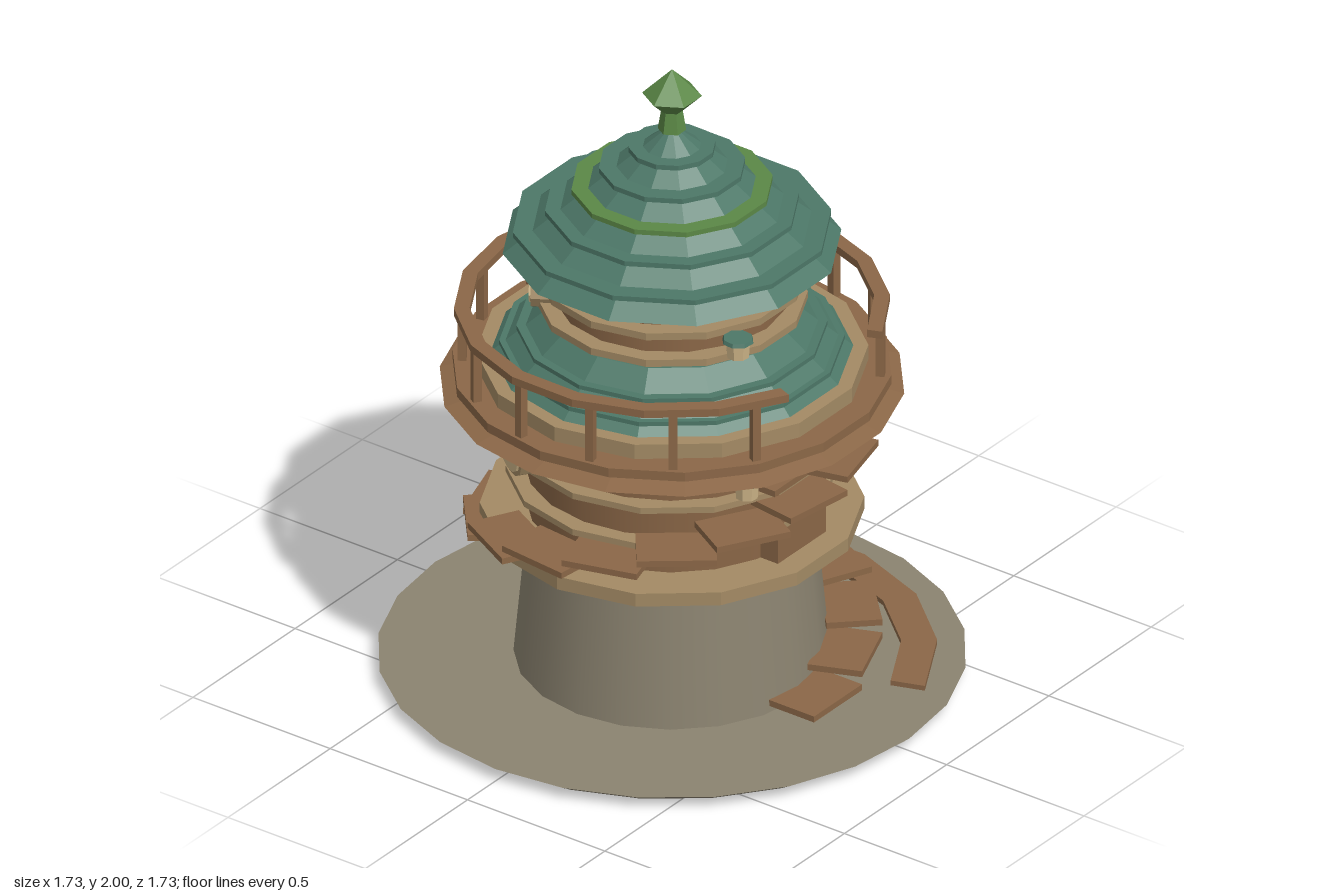
import * as THREE from 'three';

const paint = (name, color) => {
  const m = new THREE.MeshStandardMaterial({ color });
  m.name = name;
  return m;
};
const deg = Math.PI / 180;

export function createModel() {
  const stone = paint('stone', 0x8b8370);
  const wood = paint('wood', 0x8b6747);
  const tan = paint('pale timber', 0xa38a64);
  const teal = paint('teal shingle', 0x4d7868);
  const green = paint('green trim', 0x5b8846);
  const cream = paint('window cream', 0xcdb487);
  const model = new THREE.Group();

  const add = (name, geo, mat, parent = model) => {
    const mesh = new THREE.Mesh(geo, mat);
    mesh.name = name;
    parent.add(mesh);
    return mesh;
  };
  const group = (name, azimuth = 0, y = 0) => {
    const g = new THREE.Group();
    g.name = name;
    g.rotation.y = azimuth * deg;
    g.position.y = y;
    model.add(g);
    return g;
  };
  // faceted geometry with hard normals
  const facet = (geo) => {
    const g = geo.toNonIndexed();
    g.computeVertexNormals();
    return g;
  };
  // frustum between two heights; start is the turn of the first corner from +z
  const drum = (r0, r1, y0, y1, sides, start = 90) =>
    new THREE.CylinderGeometry(r1, r0, y1 - y0, sides, 1, false, start * deg)
      .translate(0, (y0 + y1) / 2, 0);
  const disc = (...args) => facet(drum(...args));
  // flat curved slab, angles measured from +z towards +x
  const arcSlab = (r0, r1, a0, a1, y, h, segs) => {
    const pts = [];
    for (let i = 0; i <= segs; i++) {
      const a = (a0 + (a1 - a0) * i / segs) * deg;
      pts.push(new THREE.Vector2(r1 * Math.sin(a), -r1 * Math.cos(a)));
    }
    for (let i = segs; i >= 0; i--) {
      const a = (a0 + (a1 - a0) * i / segs) * deg;
      pts.push(new THREE.Vector2(r0 * Math.sin(a), -r0 * Math.cos(a)));
    }
    return new THREE.ExtrudeGeometry(new THREE.Shape(pts), { depth: h, bevelEnabled: false })
      .rotateX(-Math.PI / 2).translate(0, y, 0);
  };

  // ground plate and curved path
  add('groundPlate', disc(0.8, 0.863, 0, 0.04, 24), stone);
  add('path', arcSlab(0.67, 0.775, 19, 141, 0.038, 0.018, 6), wood);

  // tower bodies
  add('stoneTower', drum(0.463, 0.42, 0.04, 0.51, 20), stone);
  add('woodTower', drum(0.426, 0.442, 0.51, 0.96, 20), wood);
  add('upperTower', drum(0.345, 0.345, 1.15, 1.43, 16), wood);

  // timber bands
  const bands = [
    [0.562, 0.507, 0.55], [0.487, 0.655, 0.675], [0.487, 0.777, 0.797], [0.487, 0.892, 0.912],
    [0.574, 1.01, 1.06], [0.397, 1.222, 1.245], [0.397, 1.312, 1.335],
  ];
  for (const [r, y0, y1] of bands) add('timberBand', disc(r, r, y0, y1, 14), tan);

  // balcony
  add('balconySkirt', disc(0.683, 0.56, 0.953, 0.985, 18), wood);
  add('balconyDeck', disc(0.645, 0.645, 0.982, 1.012, 18), wood);
  add('handrail', arcSlab(0.592, 0.638, 21, 339, 1.19, 0.025, 16), wood);
  for (let i = 0; i < 14; i++) {
    const post = group('railPost', 30 + i * 300 / 13);
    add('post', new THREE.BoxGeometry(0.026, 0.19, 0.026).translate(0, 1.1, 0.613), wood, post);
  }

  // lower roof
  add('lowerRoof', disc(0.53, 0.365, 1.06, 1.2, 14), teal);
  for (const [r, y] of [[0.505, 1.09], [0.455, 1.14]]) {
    add('lowerRoofLip', disc(r, r, y - 0.007, y + 0.007, 14), teal);
  }

  // upper roof with stepped lips, one of them green
  add('upperRoof', disc(0.5, 0.02, 1.42, 1.8, 12, 15), teal);
  const lips = [[0.47, 1.482], [0.375, 1.547], [0.297, 1.612], [0.216, 1.678], [0.128, 1.74]];
  lips.forEach(([r, y], i) =>
    add('roofLip', disc(r, r, y - 0.008, y + 0.008, 12, 15), i === 2 ? green : teal));

  // finial
  add('finialStem', disc(0.042, 0.026, 1.8, 1.9, 6), green);
  add('finialLower', disc(0.036, 0.088, 1.868, 1.917, 6), green);
  add('finialTip', disc(0.088, 0.001, 1.917, 2, 6), green);

  // oval windows: azimuth, height, distance of face, half width, half height
  const windows = [
    [45, 0.81, 0.5, 0.11, 0.07], [150, 0.81, 0.5, 0.11, 0.07], [235, 0.81, 0.5, 0.11, 0.07],
    [60, 1.26, 0.405, 0.105, 0.065], [210, 1.26, 0.405, 0.105, 0.065],
  ];
  for (const [az, y, d, w, h] of windows) {
    const win = group('ovalWindow', az, y);
    const oval = (depth, k) => facet(new THREE.CylinderGeometry(1, 1, depth, 12)
      .rotateX(Math.PI / 2).scale(w * k, h * k, 1));
    add('windowRim', oval(0.1, 1).translate(0, 0, d - 0.05), tan, win);
    add('windowPane', oval(0.008, 0.84).translate(0, 0, d + 0.003), cream, win);
  }

  // hanging lanterns
  for (const [az, y, d] of [[331, 0.84, 0.53], [332, 1.27, 0.45]]) {
    const lantern = group('lantern', az, y);
    add('lanternBody', disc(0.034, 0.038, 0, 0.052, 8).translate(0, 0, d), cream, lantern);
    add('lanternCap', disc(0.048, 0.044, 0.05, 0.062, 8).translate(0, 0, d), teal, lantern);
    add('lanternArm', new THREE.BoxGeometry(0.015, 0.015, 0.12).translate(0, 0.035, d - 0.07), wood, lantern);
  }

  // door
  add('door', new THREE.BoxGeometry(0.235, 0.25, 0.09).translate(0, 0.675, 0.428), wood);
  add('doorLintel', new THREE.BoxGeometry(0.31, 0.02, 0.1).translate(0, 0.808, 0.44), wood);

  // spiral stair winding up to the balcony
  for (let i = 0; i < 20; i++) {
    const step = group('stairStep', i * 22, 0.07 + i * 0.0437);
    add('step', new THREE.BoxGeometry(0.235, 0.02, 0.165).translate(0, 0, 0.522), wood, step);
  }

  return model;
}
